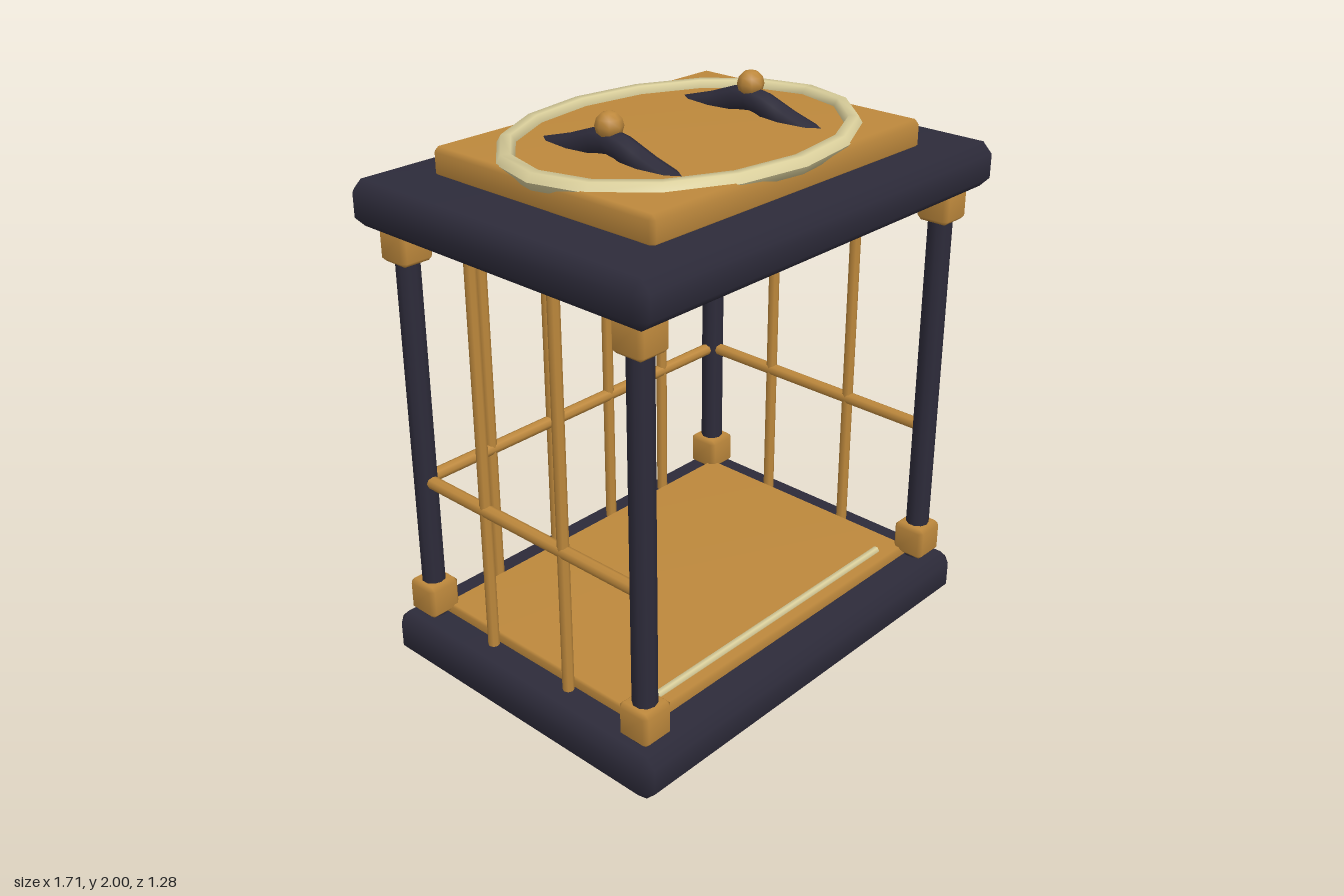
import * as THREE from 'three';
import { mergeVertices } from 'three/addons/utils/BufferGeometryUtils.js';
import { ConvexGeometry } from 'three/addons/geometries/ConvexGeometry.js';

export function createModel() {
  const model = new THREE.Group();
  model.name = 'cageLantern';
  const mat = (name, color) => {
    const m = new THREE.MeshStandardMaterial({ color });
    m.name = name;
    return m;
  };
  const dark = mat('dark iron', 0x2d2b3a);
  const gold = mat('brass', 0xbd883c);
  const cream = mat('ivory', 0xd8cd9a);

  const add = (name, geometry, material, x = 0, y = 0, z = 0) => {
    const mesh = new THREE.Mesh(geometry, material);
    mesh.name = name;
    mesh.position.set(x, y, z);
    model.add(mesh);
    return mesh;
  };

  // Box with a single chamfer on every edge, softly shaded
  const chamferBox = (w, h, d, b) => {
    const points = [];
    for (const x of [-w / 2, w / 2]) for (const y of [-h / 2, h / 2]) for (const z of [-d / 2, d / 2]) {
      const ix = x - Math.sign(x) * b, iy = y - Math.sign(y) * b, iz = z - Math.sign(z) * b;
      points.push(new THREE.Vector3(x, iy, iz), new THREE.Vector3(ix, y, iz), new THREE.Vector3(ix, iy, z));
    }
    let g = new ConvexGeometry(points);
    g.deleteAttribute('normal');
    g = mergeVertices(g, 1e-4);
    g.computeVertexNormals();
    return g;
  };

  // Base, floor and roof slabs
  add('base', chamferBox(1.68, 0.165, 1.24, 0.036), dark, 0, 0.0825, 0);
  add('floor', chamferBox(1.42, 0.06, 0.98, 0.008), gold, 0, 0.17, 0);
  add('roof', chamferBox(1.714, 0.155, 1.28, 0.036), dark, 0, 1.6925, 0);
  add('roofPlate', chamferBox(1.28, 0.1, 0.95, 0.016), gold, 0, 1.81, 0);

  // Corner posts with brass blocks at both ends
  const px = 0.735, pz = 0.515;
  const postGeo = new THREE.CylinderGeometry(0.042, 0.042, 1.48, 10);
  const blockGeo = chamferBox(0.125, 0.125, 0.125, 0.015);
  for (const x of [-px, px]) for (const z of [-pz, pz]) {
    add('cornerPost', postGeo, dark, x, 0.89, z);
    for (const y of [0.24, 1.56]) add('postBlock', blockGeo, gold, x, y, z);
  }

  // Upright bars on the back and both sides; the front is open
  const barGeo = new THREE.CylinderGeometry(0.02, 0.02, 1.46, 8);
  for (const x of [-0.44, -0.15, 0.143, 0.435]) add('backBar', barGeo, gold, x, 0.9, -pz);
  for (const x of [-px, px]) for (const z of [0.165, -0.205]) add('sideBar', barGeo, gold, x, 0.9, z);

  // Horizontal rails
  add('backRail', new THREE.CylinderGeometry(0.023, 0.023, 1.4, 8), gold, 0, 0.7, -pz).rotation.z = Math.PI / 2;
  const sideRailGeo = new THREE.CylinderGeometry(0.023, 0.023, 0.97, 8);
  for (const x of [-px, px]) add('sideRail', sideRailGeo, gold, x, 0.7, 0).rotation.x = Math.PI / 2;

  // Ivory strip along the front of the floor
  add('frontStrip', new THREE.CylinderGeometry(0.015, 0.015, 1.2, 6), cream, 0, 0.2, 0.43).rotation.z = Math.PI / 2;

  // Oval ring on the roof: a unit torus drawn in to an ellipse
  const ring = new THREE.TorusGeometry(1, 0.032, 6, 16);
  const p = ring.attributes.position;
  for (let i = 0; i < p.count; i++) {
    const x = p.getX(i), y = p.getY(i), r = Math.hypot(x, y);
    p.setXY(i, x + (0.64 - 1) * x / r, y + (0.475 - 1) * y / r);
  }
  ring.rotateX(-Math.PI / 2);
  ring.computeVertexNormals();
  add('roofRing', ring, cream, 0, 1.857, 0);

  // Shallow oval dish under the roof
  const dish = new THREE.LatheGeometry(
    [[0, -0.06], [0.7, -0.054], [0.93, -0.036], [1, -0.005], [1, 0.02]].map(([x, y]) => new THREE.Vector2(x, y)), 16);
  dish.scale(0.565, 1, 0.395);
  dish.computeVertexNormals();
  add('ceilingDish', dish, cream, 0, 1.615, 0);

  // Bent carrying handles with ball finials
  const path = new THREE.CatmullRomCurve3(
    [[-0.32, 1.81], [-0.16, 1.857], [0, 1.905], [0.16, 1.857], [0.32, 1.81]].map(([z, y]) => new THREE.Vector3(0, y, z)));
  const handleGeo = new THREE.TubeGeometry(path, 12, 0.042, 8);
  const ballGeo = new THREE.SphereGeometry(0.046, 8, 6);
  for (const x of [-0.33, 0.33]) {
    add('roofHandle', handleGeo, dark, x, 0, 0);
    add('handleBall', ballGeo, gold, x, 1.954, 0);
  }
  return model;
}
